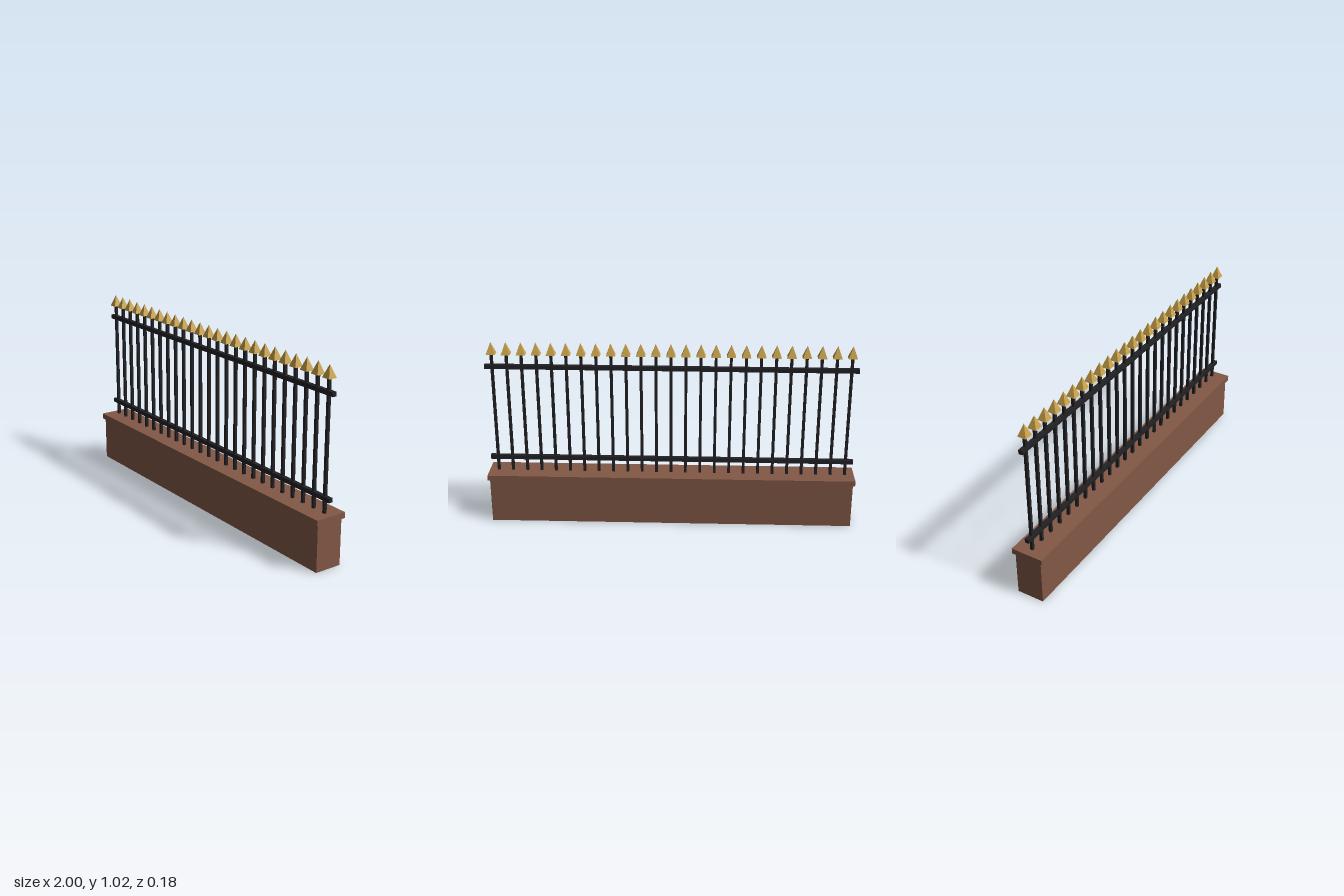
import * as THREE from 'three';

export function createModel() {
  const model = new THREE.Group();
  model.name = 'railingOnWall';

  const brick = new THREE.MeshStandardMaterial({ color: 0x825846, side: THREE.DoubleSide });
  brick.name = 'brickBrown';
  const iron = new THREE.MeshStandardMaterial({ color: 0x222225 });
  iron.name = 'blackIron';
  const gold = new THREE.MeshStandardMaterial({ color: 0xc9a24a, flatShading: true });
  gold.name = 'gold';

  const add = (name, geometry, material, x, y, z = 0) => {
    const mesh = new THREE.Mesh(geometry, material);
    mesh.name = name;
    mesh.position.set(x, y, z);
    model.add(mesh);
    return mesh;
  };

  // Low wall: a hollow shell of four sides, open below and closed by the cap
  const wall = new THREE.BoxGeometry(1.98, 0.25, 0.15);
  const faces = Array.from(wall.index.array);
  faces.splice(12, 12); // drop top and bottom
  wall.setIndex(faces);
  wall.clearGroups();
  add('wall', wall, brick, 0, 0.125);

  // Overhanging cap
  add('wallCap', new THREE.BoxGeometry(2, 0.03, 0.177), brick, 0, 0.265);

  // Horizontal rails
  const rail = new THREE.BoxGeometry(1.98, 0.023, 0.023);
  add('lowerRail', rail, iron, 0, 0.358);
  add('upperRail', rail, iron, 0, 0.884);

  // Square bars, each topped by a four-sided spearhead
  const count = 25;
  const barHeight = 0.675;
  const bar = new THREE.BoxGeometry(0.015, barHeight, 0.015);
  const spear = new THREE.ConeGeometry(0.034, 0.065, 4).rotateY(Math.PI / 4);
  for (let i = 0; i < count; i++) {
    const x = -0.95 + (1.9 * i) / (count - 1);
    add('bar', bar, iron, x, 0.28 + barHeight / 2);
    add('spearhead', spear, gold, x, 0.9875);
  }

  return model;
}
